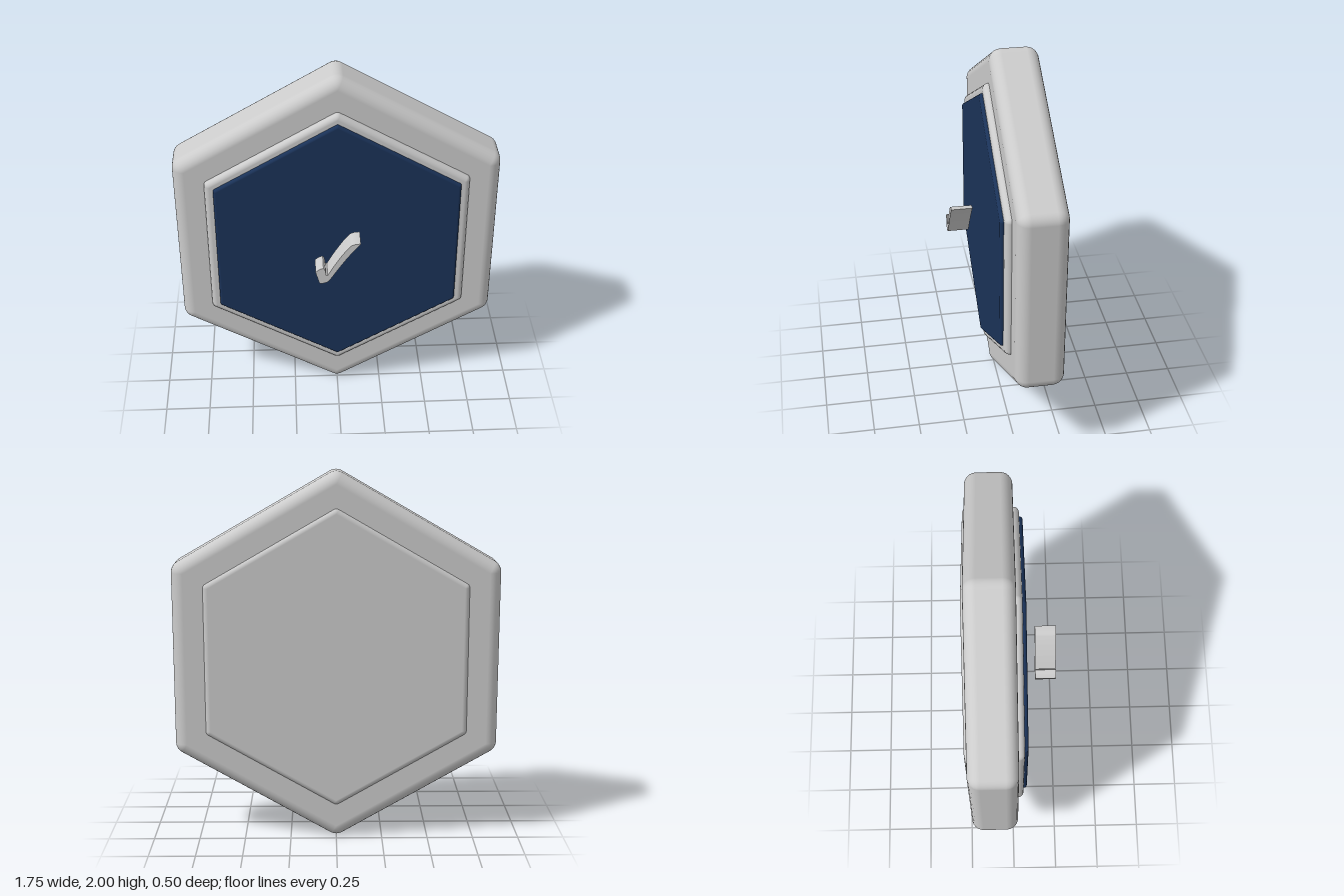
import * as THREE from 'three';

const grey = new THREE.MeshStandardMaterial({ color: 0xcccccc });
const navy = new THREE.MeshStandardMaterial({ color: 0x1a3258 });
const CENTER_Y = 1;

// Hexagonal slab with a point at the top; all edges and corners rounded by radius r.
function roundedHexagon(apothem, r, zBack, zFront) {
  const arcSteps = 6, bevelSteps = 6;
  const coreRadius = (apothem - r) / Math.cos(Math.PI / 6);

  // Outline: core corner plus outward direction, swept through 60 degrees at each corner
  const outline = [];
  for (let k = 0; k <= 6; k++) {
    const corner = Math.PI / 6 + (k * Math.PI) / 3;
    for (let s = 0; s <= arcSteps; s++) {
      const a = corner + (s / arcSteps - 0.5) * (Math.PI / 3);
      outline.push({
        x: coreRadius * Math.cos(corner), y: coreRadius * Math.sin(corner),
        nx: Math.cos(a), ny: Math.sin(a),
      });
    }
  }

  // Profile rows from the back centre, around the rounded rim, to the front centre
  const rows = [{ core: 0, t: -Math.PI / 2, z: zBack + r }];
  for (const [start, z] of [[-Math.PI / 2, zBack + r], [0, zFront - r]]) {
    for (let s = 0; s <= bevelSteps; s++) {
      rows.push({ core: 1, t: start + (s / bevelSteps) * (Math.PI / 2), z });
    }
  }
  rows.push({ core: 0, t: Math.PI / 2, z: zFront - r });

  const positions = [], normals = [], indices = [];
  const cols = outline.length;
  rows.forEach(({ core, t, z }, i) => {
    const c = Math.cos(t), s = Math.sin(t);
    outline.forEach((p, j) => {
      positions.push(p.x * core + p.nx * r * c, p.y * core + p.ny * r * c, z + r * s);
      normals.push(p.nx * c, p.ny * c, s);
      if (i + 1 < rows.length && j + 1 < cols) {
        const a = i * cols + j, d = a + cols;
        indices.push(a, a + 1, d + 1, a, d + 1, d);
      }
    });
  });

  const geometry = new THREE.BufferGeometry();
  geometry.setAttribute('position', new THREE.Float32BufferAttribute(positions, 3));
  geometry.setAttribute('normal', new THREE.Float32BufferAttribute(normals, 3));
  geometry.setIndex(indices);
  return geometry;
}

// Brush-like tick outline, relative to the hexagon centre
function tickGeometry(depth) {
  const s = new THREE.Shape();
  s.moveTo(-0.127, -0.04);
  s.quadraticCurveTo(-0.108, -0.017, -0.085, -0.015);
  s.quadraticCurveTo(-0.074, -0.02, -0.07, -0.062);
  s.lineTo(-0.062, -0.062);
  s.quadraticCurveTo(0.012, 0.074, 0.063, 0.128);
  s.quadraticCurveTo(0.08, 0.14, 0.115, 0.14);
  s.quadraticCurveTo(0.045, 0.06, -0.048, -0.09);
  s.quadraticCurveTo(-0.062, -0.114, -0.1, -0.115);
  s.quadraticCurveTo(-0.11, -0.112, -0.113, -0.09);
  s.closePath();
  return new THREE.ExtrudeGeometry(s, { depth, bevelEnabled: false, curveSegments: 6 });
}

export function createModel() {
  const model = new THREE.Group();
  model.name = 'hexagonBadge';

  function add(name, geometry, material, z = 0) {
    const mesh = new THREE.Mesh(geometry, material);
    mesh.name = name;
    mesh.position.set(0, CENTER_Y, z);
    model.add(mesh);
  }

  // Thick outer body
  add('outerBody', roundedHexagon(0.875, 0.065, -0.235, 0.025), grey);
  // Inner plate, standing slightly proud at front and back
  add('innerPlate', roundedHexagon(0.708, 0.03, -0.25, 0.058), grey);
  // Dark face panel
  add('facePanel', roundedHexagon(0.66, 0.015, 0.02, 0.077), navy);
  // Tick floating in front of the panel
  add('checkMark', tickGeometry(0.115), grey, 0.133);

  return model;
}
